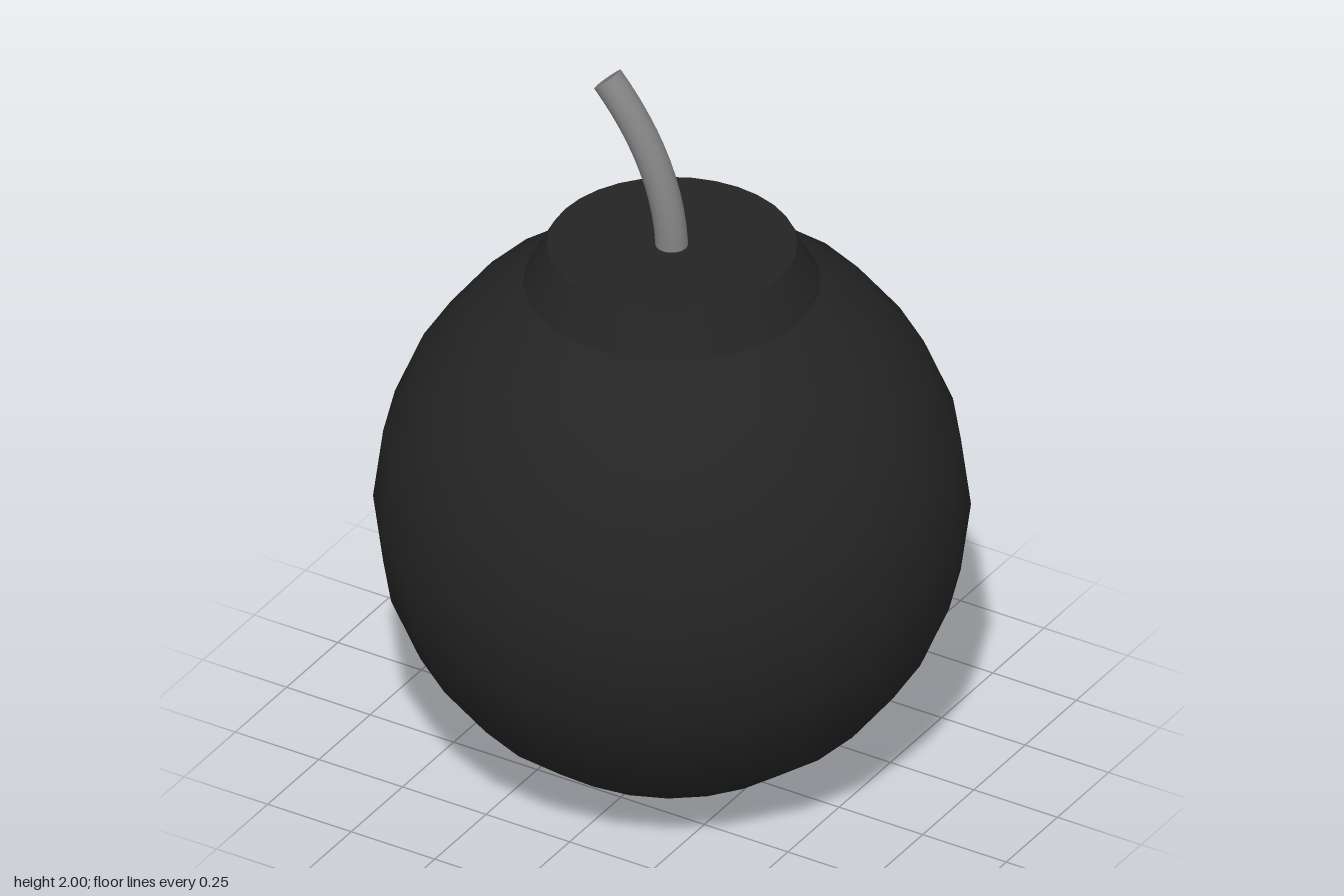
import * as THREE from 'three';

export function createModel() {
  const model = new THREE.Group();
  const black = new THREE.MeshStandardMaterial({ color: 0x242424 });
  black.name = 'black iron';
  const grey = new THREE.MeshStandardMaterial({ color: 0x828282 });
  grey.name = 'grey cord';

  const add = (name, geometry, material) => {
    const mesh = new THREE.Mesh(geometry, material);
    mesh.name = name;
    model.add(mesh);
    return mesh;
  };

  // Round body
  add('body', new THREE.SphereGeometry(0.763, 24, 12), black).position.y = 0.763;

  // Tapered neck with a flat top
  add('neck', new THREE.CylinderGeometry(0.32, 0.382, 0.115, 32), black).position.y = 1.478;

  // Fuse bending toward the model's right
  const path = new THREE.QuadraticBezierCurve3(
    new THREE.Vector3(0, 1.5, 0),
    new THREE.Vector3(0, 1.76, 0),
    new THREE.Vector3(-0.193, 1.97, 0),
  );
  const radius = 0.042;
  add('fuse', new THREE.TubeGeometry(path, 12, radius, 20), grey);

  // Flat end of the fuse
  const tip = add('fuseTip', new THREE.CircleGeometry(radius, 20), grey);
  tip.position.copy(path.getPoint(1));
  tip.quaternion.setFromUnitVectors(new THREE.Vector3(0, 0, 1), path.getTangent(1));

  return model;
}
